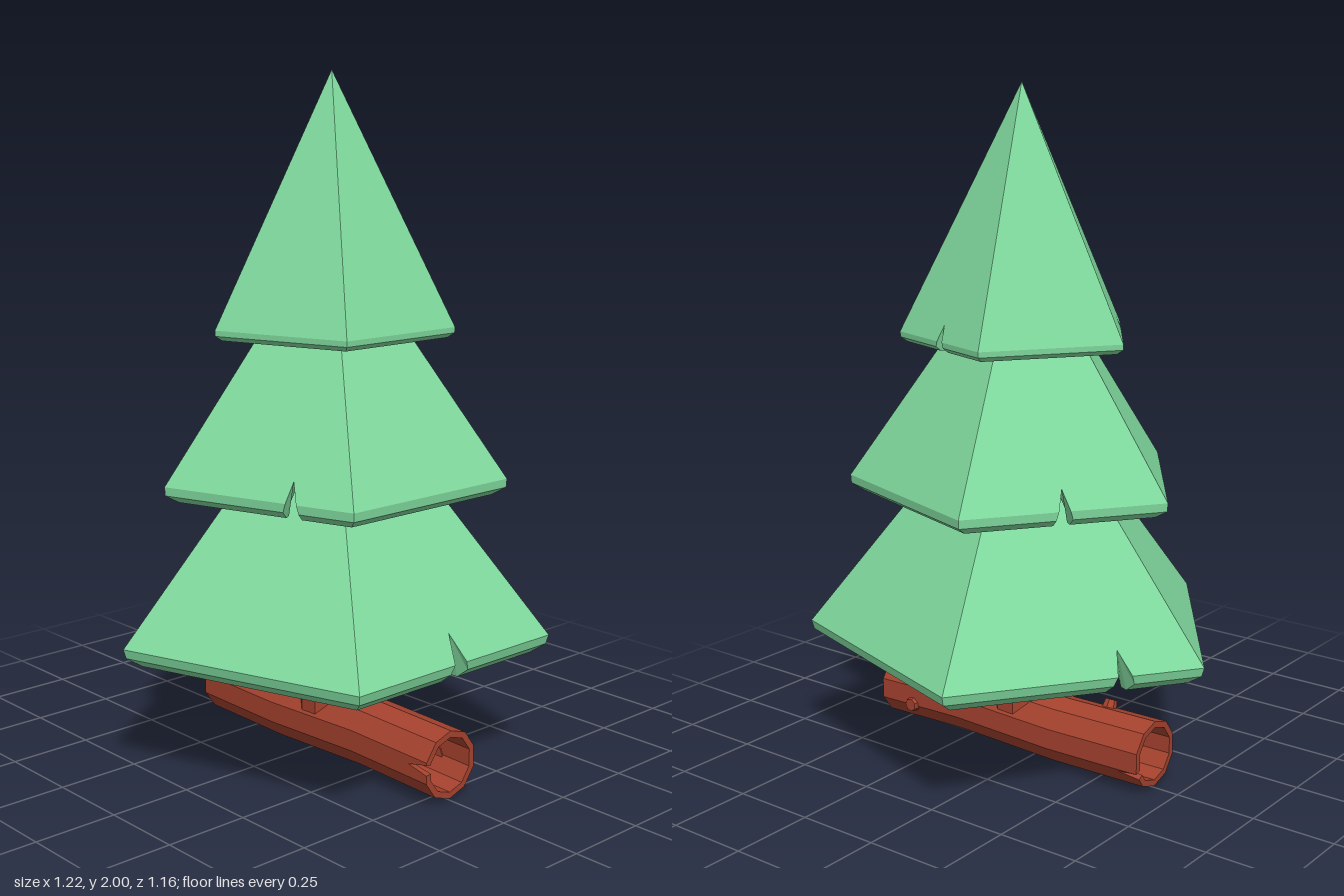
import * as THREE from 'three';

const leaf = new THREE.MeshStandardMaterial({ color: 0x80da9e, side: THREE.DoubleSide });
leaf.name = 'leafGreen';
const bark = new THREE.MeshStandardMaterial({ color: 0xa5422e, side: THREE.DoubleSide });
bark.name = 'barkRed';

const AXIS_Z = 0.06; // the tree stands a little forward of the centre

// Collects polygons as fans of flat triangles
function facetMesh(name, material, polygons) {
  const pos = [];
  for (const p of polygons)
    for (let i = 1; i + 1 < p.length; i++)
      for (const v of [p[0], p[i], p[i + 1]]) pos.push(v.x, v.y, v.z);
  const g = new THREE.BufferGeometry();
  g.setAttribute('position', new THREE.Float32BufferAttribute(pos, 3));
  g.computeVertexNormals();
  const mesh = new THREE.Mesh(g, material);
  mesh.name = name;
  return mesh;
}

// Hollow five-sided cone with a bevelled lip.
// rings: [radius, y] from outer rim, round the lip, to the inner rim
// notches: { side: [position along edge, half width, tip height] }
function makeTier(name, apexY, innerApexY, rings, notches) {
  const polys = [];
  const apex = new THREE.Vector3(0, apexY, 0);
  const innerApex = new THREE.Vector3(0, innerApexY, 0);
  const corner = ([r, y], k) => {
    const a = -Math.PI / 2 + k * Math.PI * 0.4;
    return new THREE.Vector3(r * Math.cos(a), y, r * Math.sin(a));
  };
  const last = rings.length - 1;
  for (let k = 0; k < 5; k++) {
    const notch = notches[k];
    const spans = rings.map((ring, i) => {
      const a = corner(ring, k), b = corner(ring, k + 1);
      if (!notch) return [a, b];
      const half = notch[1] * (i === 0 ? 0.7 : 1) / a.distanceTo(b);
      return [a, a.clone().lerp(b, notch[0] - half), a.clone().lerp(b, notch[0] + half), b];
    });
    // Lip strips, leaving out the notch gap
    for (let i = 0; i < last; i++)
      for (let j = 0; j < spans[i].length; j += 2)
        polys.push([spans[i][j], spans[i][j + 1], spans[i + 1][j + 1], spans[i + 1][j]]);
    const outer = [...spans[0]], inner = [...spans[last]];
    if (notch) {
      // Notch tips on both skins, and the walls between the skins
      const tip = (ring, top) => {
        const edge = corner(ring, k).lerp(corner(ring, k + 1), notch[0]);
        return edge.lerp(top, (notch[2] - ring[1]) / (top.y - ring[1]));
      };
      const tipOut = tip(rings[0], apex), tipIn = tip(rings[last], innerApex);
      outer.splice(2, 0, tipOut);
      inner.splice(2, 0, tipIn);
      polys.push([tipOut, ...spans.map(s => s[1]), tipIn]);
      polys.push([tipOut, tipIn, ...spans.map(s => s[2]).reverse()]);
    }
    polys.push([apex, ...outer.reverse()]);
    polys.push([innerApex, ...inner]);
  }
  const mesh = facetMesh(name, leaf, polys);
  mesh.position.z = AXIS_Z;
  return mesh;
}

// Hollow, slightly wavy ten-sided log with a split in each end
function makeLog() {
  const D = Math.PI / 180;
  const splits = [{ at: 175, end: 0 }, { at: 336, end: 3 }];
  const angles = [];
  for (let k = 0; k < 10; k++) angles.push(18 + 36 * k);
  for (const s of splits) angles.push(s.at - 9, s.at, s.at + 9);
  angles.sort((a, b) => a - b);
  const stations = [[0.55, 0.105], [0.25, 0.112], [-0.1, 0.1], [-0.42, 0.105]];
  const point = (deg, s, r) => {
    const local = ((deg - 18 + 360) % 36 - 18) * D;
    const rad = r * Math.cos(18 * D) / Math.cos(local);
    const split = splits.find(q => q.at === deg && q.end === s);
    const shift = split ? (s === 0 ? -0.07 : 0.07) : 0;
    const [z, y] = stations[s];
    return new THREE.Vector3(rad * Math.cos(deg * D), y + rad * Math.sin(deg * D), z + shift);
  };
  // Section loop: outside front to back, then inside back to front
  const loop = [0, 1, 2, 3].map(s => [s, 0.1]).concat([3, 2, 1, 0].map(s => [s, 0.081]));
  const polys = [];
  angles.forEach((a, j) => {
    const b = angles[(j + 1) % angles.length];
    loop.forEach((p, i) => {
      const q = loop[(i + 1) % loop.length];
      const [v0, v1, v2, v3] = [point(a, ...p), point(a, ...q), point(b, ...q), point(b, ...p)];
      polys.push([v0, v1, v2], [v0, v2, v3]);
    });
  });
  return facetMesh('log', bark, polys);
}

// Faceted bark cylinder
function barkCylinder(name, rTop, rBottom, height, sides, x, y, z, tilt = 0) {
  const g = new THREE.CylinderGeometry(rTop, rBottom, height, sides).toNonIndexed();
  g.computeVertexNormals();
  const mesh = new THREE.Mesh(g, bark);
  mesh.name = name;
  mesh.position.set(x, y, z);
  mesh.rotation.z = tilt;
  return mesh;
}

export function createModel() {
  const tree = new THREE.Group();
  tree.name = 'tree';

  tree.add(makeTier('bottomBranches', 1.21, 1.06,
    [[0.64, 0.405], [0.632, 0.378], [0.585, 0.348], [0.555, 0.348], [0.535, 0.385]],
    { 0: [0.31, 0.03, 0.47], 2: [0.49, 0.033, 0.48] }));
  tree.add(makeTier('middleBranches', 1.59, 1.46,
    [[0.51, 0.86], [0.508, 0.835], [0.468, 0.812], [0.44, 0.812], [0.425, 0.845]],
    { 0: [0.5, 0.024, 0.915], 3: [0.32, 0.024, 0.915] }));
  tree.add(makeTier('topBranches', 2, 1.84,
    [[0.355, 1.29], [0.354, 1.274], [0.333, 1.26], [0.3, 1.26], [0.285, 1.285]],
    { 1: [0.48, 0.018, 1.335], 4: [0.31, 0.018, 1.335] }));

  tree.add(barkCylinder('trunk', 0.094, 0.094, 0.74, 10, 0, 0.48, AXIS_Z));
  tree.add(makeLog());
  tree.add(barkCylinder('sideKnot', 0.02, 0.026, 0.035, 7, 0.09, 0.08, 0.425, -Math.PI / 2));
  tree.add(barkCylinder('topKnot', 0.018, 0.024, 0.035, 7, -0.045, 0.193, -0.23, 0.45));
  return tree;
}
